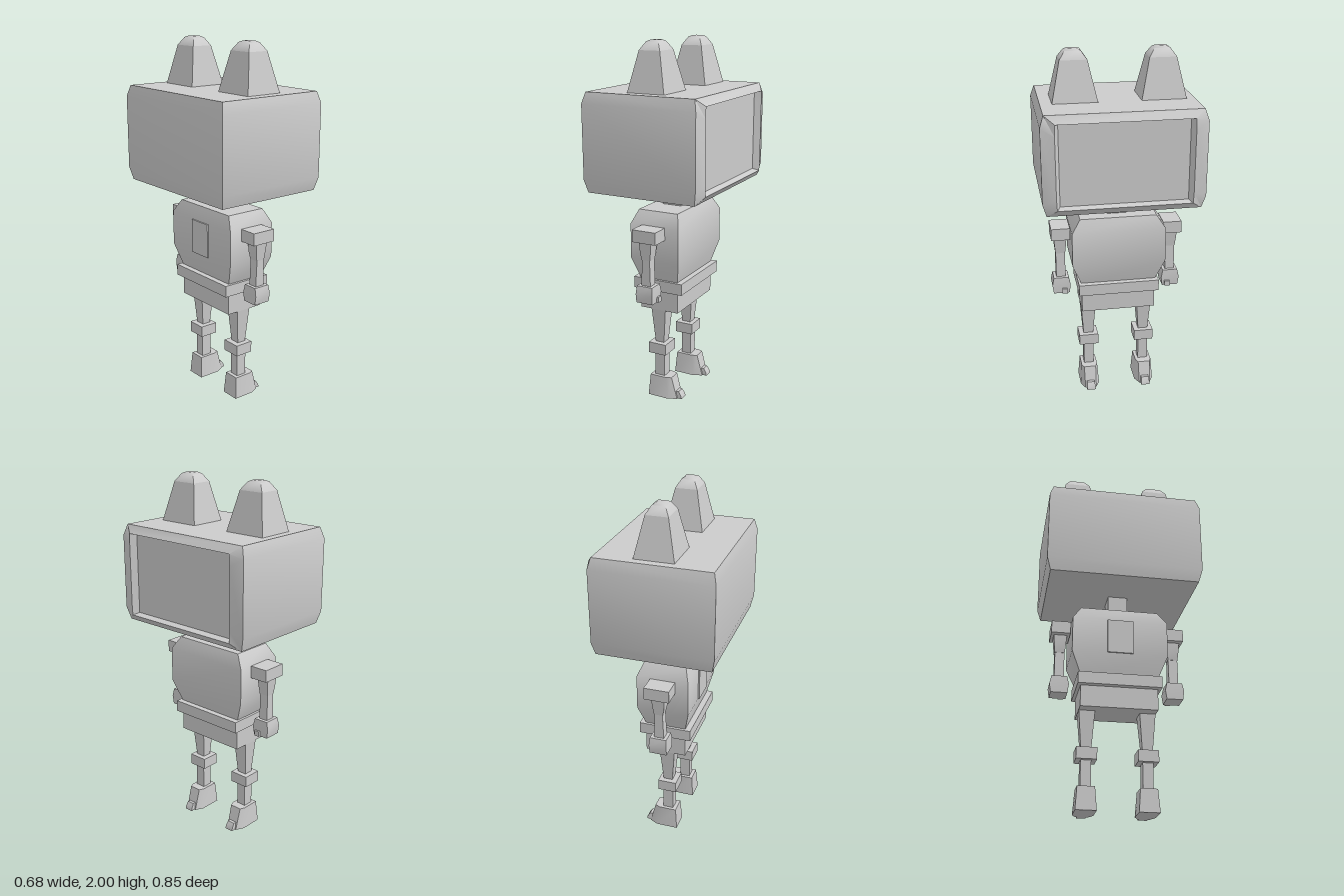
import * as THREE from 'three';
import { toCreasedNormals } from 'three/addons/utils/BufferGeometryUtils.js';

const material = new THREE.MeshStandardMaterial({ color: 0xcccccc });

// Skin a stack of equal-length rings of [x, y, z] and close both ends.
function loft(name, rings, crease = 0.5) {
  const pos = [];
  const quad = (a, b, c, d) => pos.push(...a, ...b, ...c, ...a, ...c, ...d);
  const n = rings[0].length;
  for (let i = 0; i < rings.length - 1; i++) {
    for (let j = 0; j < n; j++) {
      const k = (j + 1) % n;
      quad(rings[i][j], rings[i][k], rings[i + 1][k], rings[i + 1][j]);
    }
  }
  // end caps as strips of quads across the ring
  const first = rings[0], last = rings[rings.length - 1];
  for (let j = 0; j < n / 2 - 1; j++) {
    const p = (n - j) % n, q = j + 1, p2 = n - j - 1, q2 = j + 2;
    quad(last[p], last[q], last[q2], last[p2]);
    quad(first[p], first[p2], first[q2], first[q]);
  }
  const geo = new THREE.BufferGeometry();
  geo.setAttribute('position', new THREE.Float32BufferAttribute(pos, 3));
  const mesh = new THREE.Mesh(toCreasedNormals(geo, crease), material);
  mesh.name = name;
  return mesh;
}

// Rectangular section at height y.
const rect = (y, x0, x1, z0, z1) => [[x0, y, z1], [x1, y, z1], [x1, y, z0], [x0, y, z0]];

// Tapered block: each section is [y, x0, x1, half depth], centred on z = 0.
const block = (name, sections, crease) =>
  loft(name, sections.map(([y, x0, x1, h]) => rect(y, x0, x1, -h, h)), crease);

function group(name, z, ...parts) {
  const g = new THREE.Group();
  g.name = name;
  g.position.z = z;
  g.add(...parts);
  return g;
}

// Box head with bulging sides, raised rim and recessed screen on +x.
function makeHead() {
  const ring = (xEdge, xMid, [y0, y1, y2, y3], zEdge, zMid) => [
    [xEdge, y0, zEdge], [xEdge, y0, -zEdge], [xMid, y1, -zMid], [xMid, y2, -zMid],
    [xEdge, y3, -zEdge], [xEdge, y3, zEdge], [xMid, y2, zMid], [xMid, y1, zMid],
  ];
  const outer = [1.21, 1.28, 1.68, 1.74];
  return loft('head', [
    ring(-0.325, -0.34, outer, 0.405, 0.425),
    ring(0.3, 0.315, outer, 0.405, 0.425),
    ring(0.335, 0.335, [1.25, 1.31, 1.64, 1.7], 0.352, 0.355),
    ring(0.3, 0.3, [1.26, 1.31, 1.64, 1.69], 0.335, 0.335),
  ]);
}

function makeEar(z) {
  return group('ear', z,
    block('earBase', [[1.735, -0.116, 0.099, 0.12], [1.95, -0.07, 0.05, 0.072]]),
    block('earTip', [[1.95, -0.07, 0.05, 0.072], [1.992, -0.045, 0.025, 0.042],
      [2, -0.03, 0.01, 0.025]], 1.2));
}

function makeArm(side) {
  const thumb = block('thumb', [[0.62, 0.01, 0.042, 0.015], [0.65, 0.01, 0.042, 0.015]]);
  thumb.position.z = -0.018 * side;
  return group('arm', 0.315 * side,
    block('shoulder', [[0.96, -0.085, 0.055, 0.052], [1.028, -0.085, 0.055, 0.052]]),
    block('upperArm', [[0.86, -0.042, 0.008, 0.027], [0.9, -0.05, 0.013, 0.031],
      [0.96, -0.053, 0.02, 0.036]]),
    block('forearm', [[0.71, -0.047, 0.009, 0.026], [0.86, -0.04, 0.005, 0.026]]),
    block('hand', [[0.62, -0.068, 0.03, 0.045], [0.67, -0.068, 0.032, 0.052],
      [0.715, -0.065, 0.028, 0.042]]),
    thumb);
}

function makeLeg(side) {
  // plan of the foot, narrowing toward the toe
  const sole = (y, back, mid, front, h, tip) => [
    [back, y, h], [mid, y, h], [front, y, tip], [front, y, -tip], [mid, y, -h], [back, y, -h],
  ];
  return group('leg', 0.163 * side,
    block('thigh', [[0.33, -0.045, 0.007, 0.028], [0.53, -0.062, 0.025, 0.043]]),
    block('knee', [[0.265, -0.074, 0.032, 0.055], [0.328, -0.074, 0.032, 0.055]]),
    block('shin', [[0.12, -0.049, 0.011, 0.028], [0.265, -0.049, 0.011, 0.028]]),
    loft('foot', [sole(0, -0.08, 0.045, 0.092, 0.055, 0.032),
      sole(0.125, -0.07, 0.03, 0.058, 0.046, 0.034)]),
    block('toe', [[0, 0.07, 0.117, 0.025], [0.015, 0.07, 0.115, 0.025],
      [0.042, 0.07, 0.098, 0.022]]));
}

export function createModel() {
  const model = new THREE.Group();
  model.name = 'robot';
  model.add(
    makeHead(),
    makeEar(0.224),
    makeEar(-0.241),
    block('neck', [[1.09, -0.07, 0.042, 0.054], [1.22, -0.07, 0.042, 0.054]]),
    block('torso', [[0.7, -0.125, 0.1, 0.207], [0.83, -0.157, 0.134, 0.26],
      [1.025, -0.157, 0.134, 0.26], [1.098, -0.13, 0.105, 0.212]], 0.7),
    block('backPanel', [[0.83, -0.165, -0.14, 0.07], [1.02, -0.165, -0.14, 0.07]]),
    block('belt', [[0.646, -0.16, 0.135, 0.226], [0.71, -0.16, 0.135, 0.226]]),
    block('pelvis', [[0.53, -0.127, 0.103, 0.208], [0.65, -0.127, 0.103, 0.208]]));
  for (const side of [1, -1]) model.add(makeArm(side), makeLeg(side));
  return model;
}
